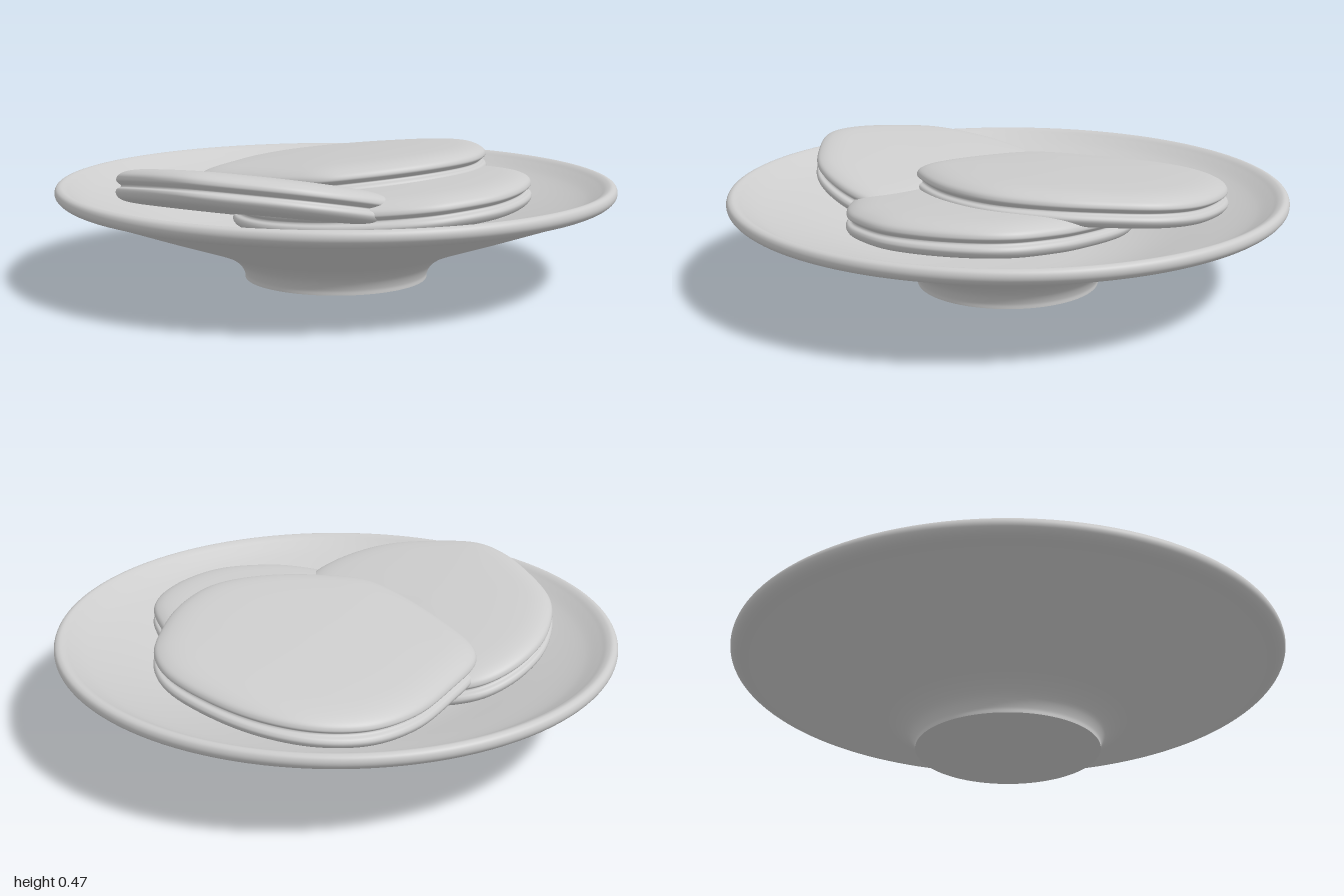
import * as THREE from 'three';
import { mergeVertices } from 'three/addons/utils/BufferGeometryUtils.js';

const material = new THREE.MeshStandardMaterial({ color: 0xcccccc });

// Smooth a list of [radius, height] points into a lathe profile.
function smoothProfile(points, samples) {
  const curve = new THREE.CatmullRomCurve3(
    points.map(([r, y]) => new THREE.Vector3(r, y, 0)), false, 'centripetal');
  return curve.getPoints(samples).map(p => new THREE.Vector2(Math.max(p.x, 0), p.y));
}

// Sandwich section, bottom to top: lower layer, groove, domed upper layer.
const SECTION = smoothProfile([
  [0, -0.125], [0.7, -0.125], [0.93, -0.12], [0.985, -0.108], [1, -0.092],
  [0.99, -0.08], [0.962, -0.073], [0.957, -0.067], [0.975, -0.06], [0.993, -0.05],
  [0.985, -0.036], [0.945, -0.021], [0.86, -0.008], [0.7, 0], [0.4, 0.006], [0, 0.01],
], 75);

// A lathe whose round plan is replaced by an irregular outline and then tilted.
function makeSandwich(name, outline, [cx, cy, cz], slopeX, slopeZ) {
  const columns = 120, rows = SECTION.length;
  const curve = new THREE.CatmullRomCurve3(
    outline.map(([x, z]) => new THREE.Vector3(x - cx, 0, z - cz)), true, 'centripetal');
  let geometry = new THREE.LatheGeometry(SECTION, columns);
  const pos = geometry.attributes.position;
  for (let i = 0; i <= columns; i++) {
    const edge = curve.getPoint((i % columns) / columns);
    for (let j = 0; j < rows; j++) {
      const x = edge.x * SECTION[j].x, z = edge.z * SECTION[j].x;
      pos.setXYZ(i * rows + j, x, SECTION[j].y + slopeX * x + slopeZ * z, z);
    }
  }
  // Weld the seam so the shading is continuous
  geometry.deleteAttribute('uv');
  geometry.deleteAttribute('normal');
  geometry = mergeVertices(geometry, 1e-5);
  geometry.computeVertexNormals();
  const mesh = new THREE.Mesh(geometry, material);
  mesh.name = name;
  mesh.position.set(cx, cy, cz);
  return mesh;
}

function makeBowl() {
  const bowl = new THREE.Group();
  bowl.name = 'bowl';

  // Flared wall, rounded rim and shallow inside
  const wall = new THREE.Mesh(new THREE.LatheGeometry(smoothProfile([
    [0.33, 0], [0.332, 0.018], [0.35, 0.052], [0.39, 0.085], [0.45, 0.115],
    [0.7, 0.204], [0.93, 0.287], [0.98, 0.304], [0.997, 0.32], [1, 0.335],
    [0.994, 0.349], [0.98, 0.355], [0.963, 0.35], [0.94, 0.335], [0.88, 0.3],
    [0.7, 0.233], [0.5, 0.165], [0.35, 0.135], [0.2, 0.125], [0, 0.122],
  ], 90), 128), material);
  wall.name = 'bowlWall';

  // Flat underside of the foot
  const base = new THREE.Mesh(new THREE.CircleGeometry(0.33, 128), material);
  base.name = 'footBase';
  base.rotation.x = Math.PI / 2;

  bowl.add(wall, base);
  return bowl;
}

export function createModel() {
  const model = new THREE.Group();
  model.name = 'bowlOfPastries';
  model.add(makeBowl());

  // Outlines run counterclockwise seen from above, as [x, z]
  model.add(makeSandwich('topPastry', [
    [0.07, -0.79], [-0.1, -0.76], [-0.25, -0.65], [-0.38, -0.46], [-0.48, -0.27],
    [-0.48, -0.17], [-0.38, 0.02], [-0.22, 0.23], [-0.12, 0.31], [0, 0.325],
    [0.25, 0.29], [0.45, 0.18], [0.56, 0], [0.61, -0.2], [0.62, -0.36],
    [0.57, -0.5], [0.42, -0.65], [0.25, -0.75],
  ], [0.07, 0.42, -0.23], 0.08, 0.07));

  model.add(makeSandwich('rightPastry', [
    [-0.47, -0.34], [-0.6, -0.28], [-0.72, -0.15], [-0.78, 0], [-0.79, 0.12],
    [-0.74, 0.3], [-0.66, 0.47], [-0.57, 0.57], [-0.4, 0.63], [-0.2, 0.655],
    [-0.02, 0.6], [0.09, 0.51], [0.11, 0.44], [0.04, 0.3], [-0.05, 0.1],
    [-0.15, -0.15], [-0.3, -0.32],
  ], [-0.34, 0.385, 0.15], -0.14, 0.18));

  model.add(makeSandwich('lowerPastry', [
    [0.4, -0.32], [0.15, -0.42], [-0.1, -0.38], [-0.3, -0.2], [-0.38, 0.05],
    [-0.32, 0.3], [-0.15, 0.5], [0.05, 0.59], [0.2, 0.615], [0.3, 0.6],
    [0.45, 0.54], [0.57, 0.42], [0.65, 0.27], [0.67, 0.15], [0.64, 0.02],
    [0.59, -0.09],
  ], [0.15, 0.365, 0.1], 0.08, 0.03));

  return model;
}
